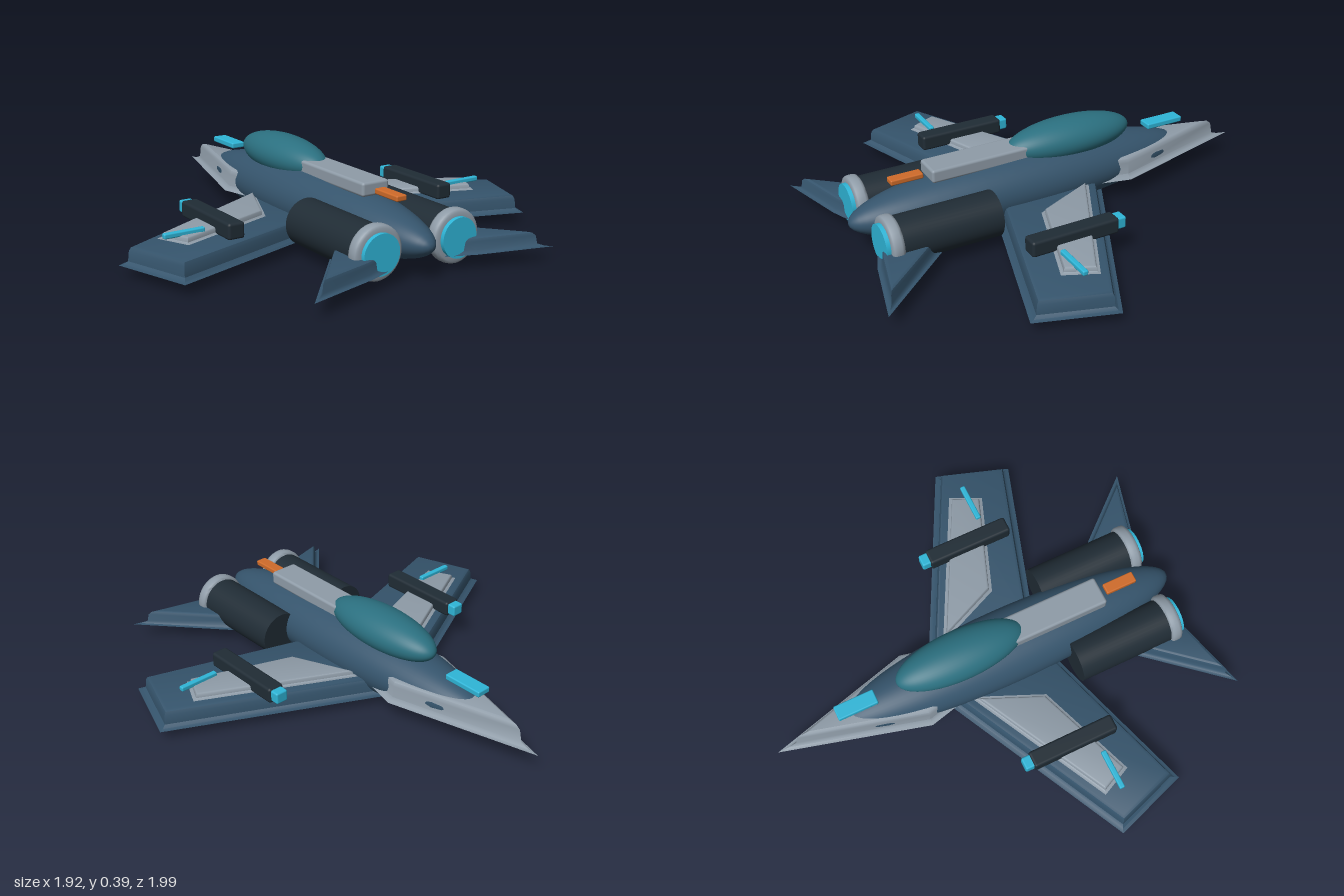
import * as THREE from 'three';
import { toCreasedNormals } from 'three/addons/utils/BufferGeometryUtils.js';
import { RoundedBoxGeometry } from 'three/addons/geometries/RoundedBoxGeometry.js';

const paint = (name, color) => {
  const m = new THREE.MeshStandardMaterial({ color });
  m.name = name;
  return m;
};

// Moves every edge of an outline inwards by s, keeping mitred corners.
function inset(pts, s) {
  const n = pts.length;
  const normal = (a, b) => {
    const dx = b[0] - a[0], dz = b[1] - a[1], l = Math.hypot(dx, dz);
    return [dz / l, -dx / l];
  };
  return pts.map((p, i) => {
    const a = normal(pts[(i + n - 1) % n], p), b = normal(p, pts[(i + 1) % n]);
    const k = s / (1 + a[0] * b[0] + a[1] * b[1]);
    return [p[0] + k * (a[0] + b[0]), p[1] + k * (a[1] + b[1])];
  });
}

// Raised plate with a thin flared rim at its base and a rounded shoulder.
function platedSlab(outline, y0, y1, bevel) {
  let area = 0;
  outline.forEach((p, i) => {
    const q = outline[(i + 1) % outline.length];
    area += p[0] * q[1] - q[0] * p[1];
  });
  const pts = area > 0 ? [...outline].reverse() : outline;
  const profile = [[0, 0], [0.3, 0.05], [0.55, 0.2], [0.62, 0.75], [0.75, 0.93], [1, 1]];
  const rings = profile.map(([s, h]) =>
    inset(pts, s * bevel).map(([x, z]) => [x, y0 + (y1 - y0) * h, z]));
  const pos = [], n = pts.length, top = rings[rings.length - 1];
  const tri = (a, b, c) => pos.push(...a, ...b, ...c);
  for (let r = 0; r < rings.length - 1; r++) {
    for (let i = 0; i < n; i++) {
      const j = (i + 1) % n;
      tri(rings[r][i], rings[r][j], rings[r + 1][j]);
      tri(rings[r][i], rings[r + 1][j], rings[r + 1][i]);
    }
  }
  for (let i = 1; i < n - 1; i++) {
    tri(top[0], top[i], top[i + 1]);
    tri(rings[0][0], rings[0][i + 1], rings[0][i]);
  }
  const g = new THREE.BufferGeometry();
  g.setAttribute('position', new THREE.Float32BufferAttribute(pos, 3));
  return toCreasedNormals(g, 0.7);
}

export function createModel() {
  const blue = paint('hull blue', 0x35546c);
  const dark = paint('dark metal', 0x202c35);
  const grey = paint('light grey', 0x8f9ca8);
  const cyan = paint('glow cyan', 0x2fb6d8);
  const teal = paint('canopy teal', 0x2b7080);
  const orange = paint('beacon orange', 0xd06c2a);

  const model = new THREE.Group();
  model.name = 'jet';
  const add = (name, geometry, material, x = 0, y = 0, z = 0) => {
    const mesh = new THREE.Mesh(geometry, material);
    mesh.name = name;
    mesh.position.set(x, y, z);
    model.add(mesh);
    return mesh;
  };
  const box = (name, material, size, at, r = 0.006) =>
    add(name, new RoundedBoxGeometry(...size, 2, r), material, ...at);
  const ellipsoid = (name, material, radii, at) =>
    add(name, new THREE.SphereGeometry(1, 48, 32).rotateX(Math.PI / 2).scale(...radii), material, ...at);

  // Body
  ellipsoid('fuselage', blue, [0.17, 0.145, 0.81], [0, 0.147, 0.12]);
  ellipsoid('canopy', teal, [0.112, 0.09, 0.303], [0, 0.3, -0.107]);
  const nose = [[0, -0.99], [0.18, -0.33], [0.1, 0], [-0.1, 0], [-0.18, -0.33]];
  add('nosePlate', platedSlab(nose, 0.105, 0.2, 0.042), grey);
  box('spine', grey, [0.13, 0.06, 0.48], [0, 0.298, 0.335], 0.012);
  box('tailBeacon', orange, [0.05, 0.024, 0.145], [0, 0.296, 0.67]);
  box('noseSensor', cyan, [0.066, 0.026, 0.185], [0, 0.258, -0.603]);

  // Engine profiles, turned around the z axis
  const ringProfile = [[0.08, 0], [0.1, 0], [0.11, 0.006], [0.113, 0.016], [0.113, 0.036],
    [0.11, 0.048], [0.1, 0.054], [0.08, 0.054]].map(p => new THREE.Vector2(...p));
  const ringGeometry = toCreasedNormals(new THREE.LatheGeometry(ringProfile, 40), 0.8).rotateX(Math.PI / 2);
  const tube = (r, length) => new THREE.CylinderGeometry(r, r, length, 40).rotateX(Math.PI / 2);

  const wing = [[0.08, -0.235], [0.96, 0.21], [0.848, 0.545], [0.08, 0.3]];
  const panel = [[0.14, -0.13], [0.79, 0.205], [0.725, 0.345], [0.275, 0.18]];
  const fin = [[0.13, 0.48], [0.577, 0.995], [0.255, 0.91], [0.13, 0.86]];

  for (const [side, s] of [['left', 1], ['right', -1]]) {
    const flip = pts => pts.map(([x, z]) => [s * x, z]);
    // Wing and tail fin
    add(side + 'Wing', platedSlab(flip(wing), 0.05, 0.126, 0.05), blue);
    add(side + 'WingPanel', platedSlab(flip(panel), 0.127, 0.152, 0.025), grey);
    add(side + 'TailFin', platedSlab(flip(fin), 0.067, 0.13, 0.035), blue);
    // Wing pod with its muzzle and light strip
    box(side + 'Pod', dark, [0.075, 0.07, 0.4], [s * 0.528, 0.157, 0.178], 0.012);
    box(side + 'PodMuzzle', cyan, [0.057, 0.052, 0.06], [s * 0.528, 0.159, -0.03], 0.008);
    box(side + 'WingLight', cyan, [0.18, 0.022, 0.024], [s * 0.71, 0.157, 0.278]);
    // Engine
    add(side + 'Engine', tube(0.1, 0.45), dark, s * 0.19, 0.137, 0.585);
    add(side + 'NozzleRing', ringGeometry, grey, s * 0.19, 0.137, 0.8);
    add(side + 'Exhaust', tube(0.084, 0.07), cyan, s * 0.19, 0.137, 0.837);
  }
  return model;
}
